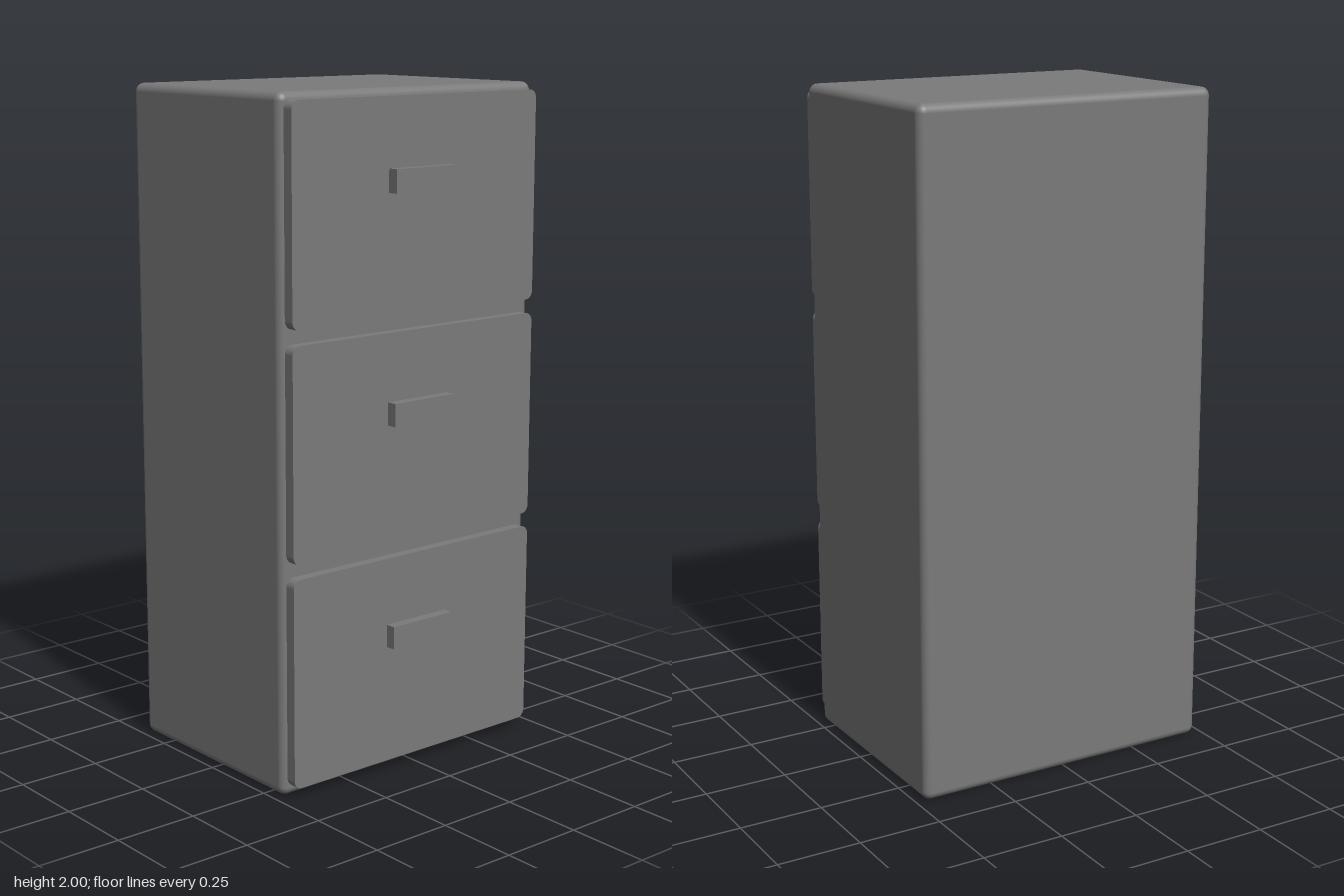
import * as THREE from 'three';
import { RoundedBoxGeometry } from 'three/addons/geometries/RoundedBoxGeometry.js';

const WIDTH = 0.954, HEIGHT = 2, BACK = -0.377, FACE = 0.313;
const PANEL_W = 0.92, PANEL_H = 0.622, PANEL_D = 0.032;

// Upright rectangle with rounded corners, centred on the origin
function roundedRect(w, h, r) {
  const x = w / 2, y = h / 2;
  const s = new THREE.Shape();
  s.moveTo(-x + r, -y);
  s.lineTo(x - r, -y);
  s.absarc(x - r, -y + r, r, -Math.PI / 2, 0);
  s.absarc(x - r, y - r, r, 0, Math.PI / 2);
  s.absarc(-x + r, y - r, r, Math.PI / 2, Math.PI);
  s.absarc(-x + r, -y + r, r, Math.PI, Math.PI * 1.5);
  return s;
}

export function createModel() {
  const cabinet = new THREE.Group();
  cabinet.name = 'filingCabinet';
  const grey = new THREE.MeshStandardMaterial({ color: 0x7a7a7a });
  grey.name = 'grey metal';

  const add = (parent, name, geometry, x, y, z) => {
    const mesh = new THREE.Mesh(geometry, grey);
    mesh.name = name;
    mesh.position.set(x, y, z);
    parent.add(mesh);
  };

  // Softly rounded carcass
  add(cabinet, 'body', new RoundedBoxGeometry(WIDTH, HEIGHT, FACE - BACK, 4, 0.025),
    0, HEIGHT / 2, (FACE + BACK) / 2);

  // Three drawers, each a front panel with a bar handle above its middle
  const panel = new THREE.ExtrudeGeometry(roundedRect(PANEL_W, PANEL_H, 0.025),
    { depth: PANEL_D + 0.005, bevelEnabled: false, curveSegments: 6 });
  const handle = new THREE.BoxGeometry(0.227, 0.068, 0.032);
  ['lower', 'middle', 'upper'].forEach((level, i) => {
    const drawer = new THREE.Group();
    drawer.name = level + 'Drawer';
    drawer.position.set(0, 0.34 + i * 0.664, FACE);
    add(drawer, 'drawerFront', panel, 0, 0, -0.005);
    add(drawer, 'handle', handle, 0, 0.077, PANEL_D + 0.016);
    cabinet.add(drawer);
  });

  return cabinet;
}
